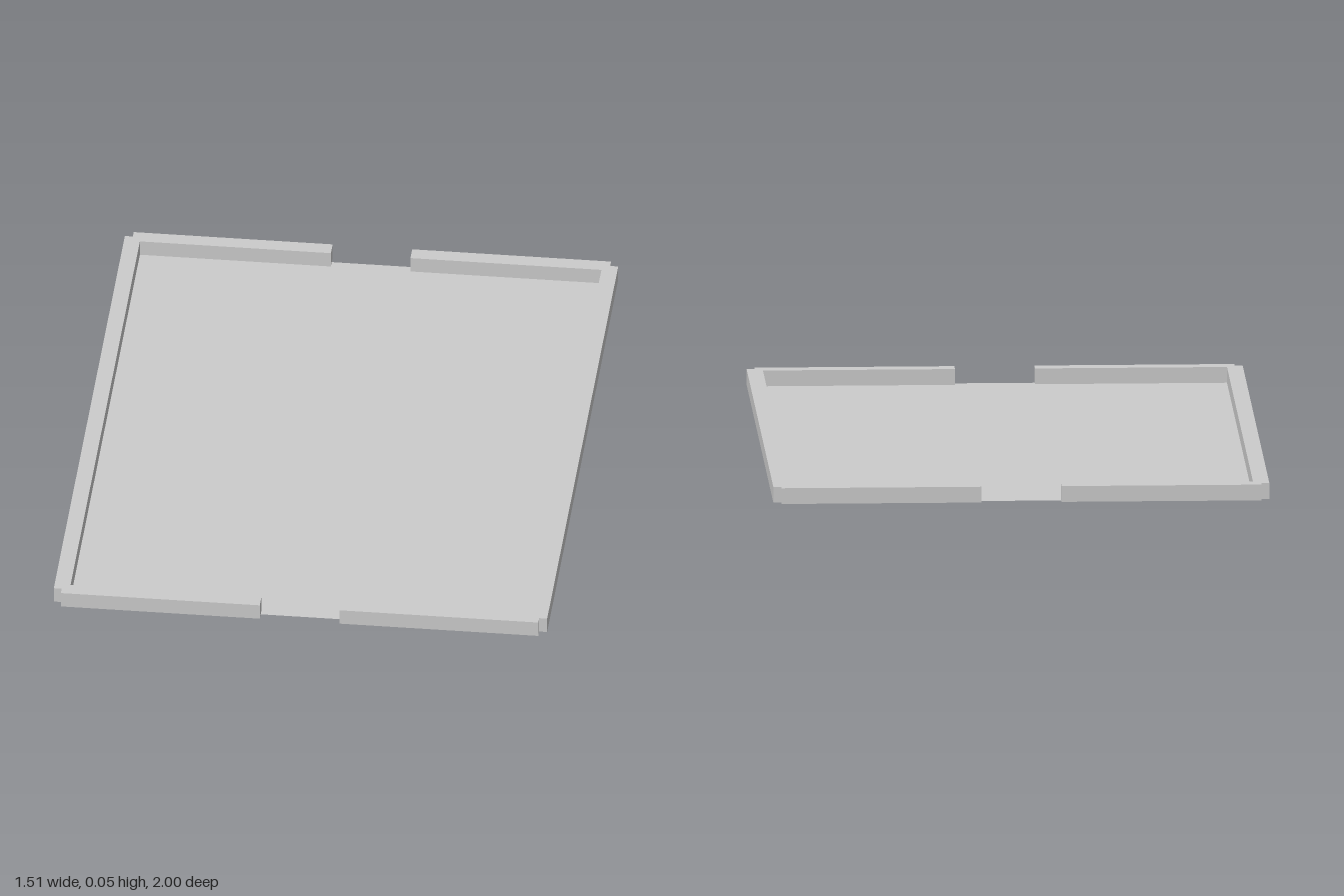
import * as THREE from 'three';

export function createModel() {
  const group = new THREE.Group();
  const u = 2 / 41; // wall thickness and height
  const width = 30 * u, length = 40 * u, gap = 5 * u;
  const material = new THREE.MeshStandardMaterial({ color: 0xcccccc, flatShading: true });
  const floorMaterial = material.clone();
  floorMaterial.side = THREE.DoubleSide;

  // Thin floor sheet
  const floor = new THREE.Mesh(new THREE.PlaneGeometry(width, length).rotateX(-Math.PI / 2), floorMaterial);
  floor.name = 'floor';
  group.add(floor);

  function addWall(name, w, d, x, z) {
    const wall = new THREE.Mesh(new THREE.BoxGeometry(w, u, d), material);
    wall.position.set(x, u / 2, z);
    wall.name = name;
    group.add(wall);
  }

  const endWidth = (width - gap) / 2;
  for (const sx of [-1, 1]) {
    const side = sx > 0 ? 'left' : 'right';
    // Long side walls, centred on the floor's edges
    addWall(side + 'SideWall', u, length, sx * width / 2, 0);
    // End walls, leaving an opening in the middle
    for (const sz of [-1, 1]) {
      const end = sz > 0 ? 'front' : 'back';
      addWall(end + (sx > 0 ? 'Left' : 'Right') + 'EndWall', endWidth, u, sx * (gap + endWidth) / 2, sz * length / 2);
    }
  }
  return group;
}
